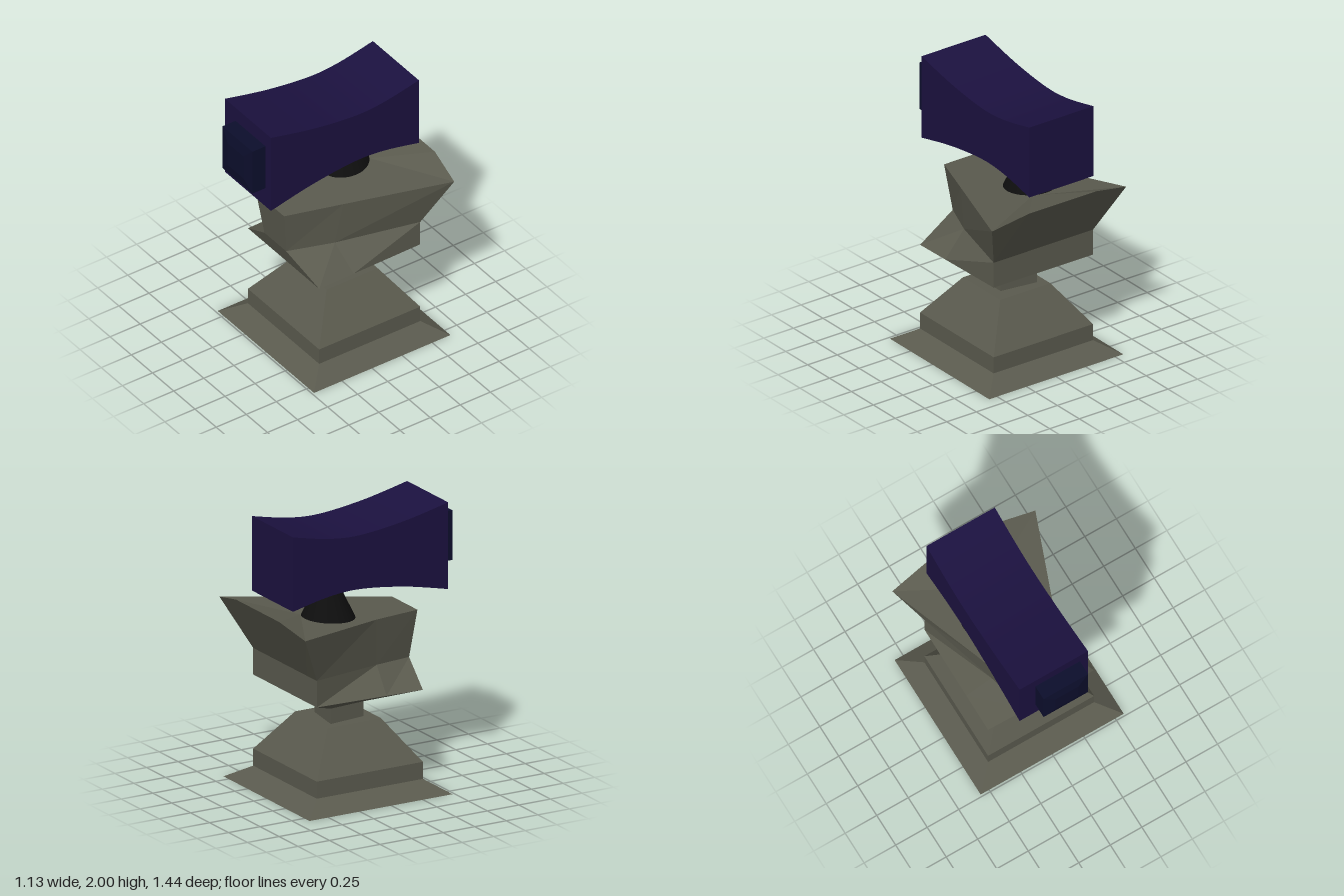
import * as THREE from 'three';
import { toCreasedNormals } from 'three/addons/utils/BufferGeometryUtils.js';

const stone = new THREE.MeshStandardMaterial({ color: 0x5a5a4e, flatShading: true });
const indigo = new THREE.MeshStandardMaterial({ color: 0x1b113f });
const navy = new THREE.MeshStandardMaterial({ color: 0x0c0e2c, flatShading: true });
const black = new THREE.MeshStandardMaterial({ color: 0x0e0e0e });

// Skin a stack of rings (counter-clockwise from above) and close both ends with a fan.
function loft(rings, topCentre) {
  const pos = [];
  const tri = (...pts) => pts.forEach((p) => pos.push(...p));
  const mean = (ring) => [0, 1, 2].map((k) => ring.reduce((s, p) => s + p[k], 0) / ring.length);
  const n = rings[0].length;
  const first = rings[0], last = rings[rings.length - 1];
  const low = mean(first), high = topCentre || mean(last);
  for (let i = 0; i < n; i++) {
    const j = (i + 1) % n;
    for (let r = 0; r + 1 < rings.length; r++) {
      const a = rings[r], b = rings[r + 1];
      tri(a[i], a[j], b[j], a[i], b[j], b[i]);
    }
    tri(low, first[j], first[i]);
    tri(high, last[i], last[j]);
  }
  const g = new THREE.BufferGeometry();
  g.setAttribute('position', new THREE.Float32BufferAttribute(pos, 3));
  g.computeVertexNormals();
  return g;
}

// Rectangular ring at height y
const rect = (y, x0, x1, z0, z1) => [[x0, y, z1], [x1, y, z1], [x1, y, z0], [x0, y, z0]];
const square = (y, h) => rect(y, -h, h, -0.083 - h, -0.083 + h);

// Eight-point ring from its right half (front, side, corner, back); fl is the front-left x
const half = (fl, front, side, corner, back) => {
  const m = ([x, y, z]) => [-x, y, z];
  return [[fl, front[1], front[2]], front, side, corner, back, m(back), m(corner), m(side)];
};

export function createModel() {
  const model = new THREE.Group();
  const add = (name, geometry, material) => {
    const mesh = new THREE.Mesh(geometry, material);
    mesh.name = name;
    model.add(mesh);
    return mesh;
  };

  // Stepped square pedestal
  add('pedestal', loft([square(0, 0.567), square(0.093, 0.42), square(0.215, 0.42), square(0.505, 0.212)]), stone);

  // Slightly skewed neck
  const neck = (y) => [[-0.115, y, 0.05], [0.13, y, 0.05], [0.13, y, -0.19], [-0.15, y, -0.23]];
  add('neck', loft([neck(0.5), neck(0.62)]), stone);

  // Body: flared underside, pinched front band, wide raised back
  const under = (neck(0.615)).map((p) => p);
  const at = (a, b, t) => a.map((v, k) => v + (b[k] - v) * t);
  const [ufl, ufr, ubr, ubl] = under;
  const body = [
    [ufl, ufr, at(ufr, ubr, 0.35), ubr, at(ubr, ubl, 0.2), at(ubr, ubl, 0.8), ubl, at(ubl, ufl, 0.65)],
    half(-0.42, [0.42, 0.73, 0.337], [0.42, 0.735, 0.05], [0.42, 0.745, -0.503], [0.285, 0.745, -0.503]),
    half(-0.15, [0.105, 0.88, 0.39], [0.24, 0.902, 0.08], [0.42, 0.935, -0.503], [0.285, 0.935, -0.503]),
    half(-0.185, [0.145, 1.22, 0.435], [0.292, 1.245, 0.045], [0.567, 1.29, -0.682], [0.285, 1.355, -0.72]),
  ];
  add('body', loft(body, [0, 1.272, -0.38]), stone);

  // Cone carrying the head
  const cone = add('headMount', new THREE.ConeGeometry(0.19, 0.4, 32), black);
  cone.position.set(-0.098, 1.453, -0.225);

  // Waisted head, extruded across x from its side profile
  const curve = (pts) => new THREE.SplineCurve(pts.map(([z, y]) => new THREE.Vector2(z, y))).getPoints(24);
  const top = curve([[0.595, 2], [0.25, 1.926], [-0.1, 1.884], [-0.35, 1.898], [-0.635, 1.957]]);
  const bottom = curve([[-0.635, 1.425], [-0.35, 1.484], [-0.1, 1.498], [0.25, 1.456], [0.595, 1.38]]);
  const headGeo = new THREE.ExtrudeGeometry(new THREE.Shape([...top, ...bottom]), { depth: 0.542, bevelEnabled: false });
  headGeo.rotateY(-Math.PI / 2).translate(0.217, 0, 0);
  add('head', toCreasedNormals(headGeo, 0.5), indigo);

  // Chamfered eye block on the front of the head
  const eye = loft([
    rect(0.58, -0.2, 0.153, -1.89, -1.535),
    rect(0.703, -0.2, 0.153, -1.89, -1.535),
    rect(0.72, -0.115, 0.068, -1.805, -1.62),
  ]);
  add('eye', eye.rotateX(Math.PI / 2), navy);

  return model;
}
